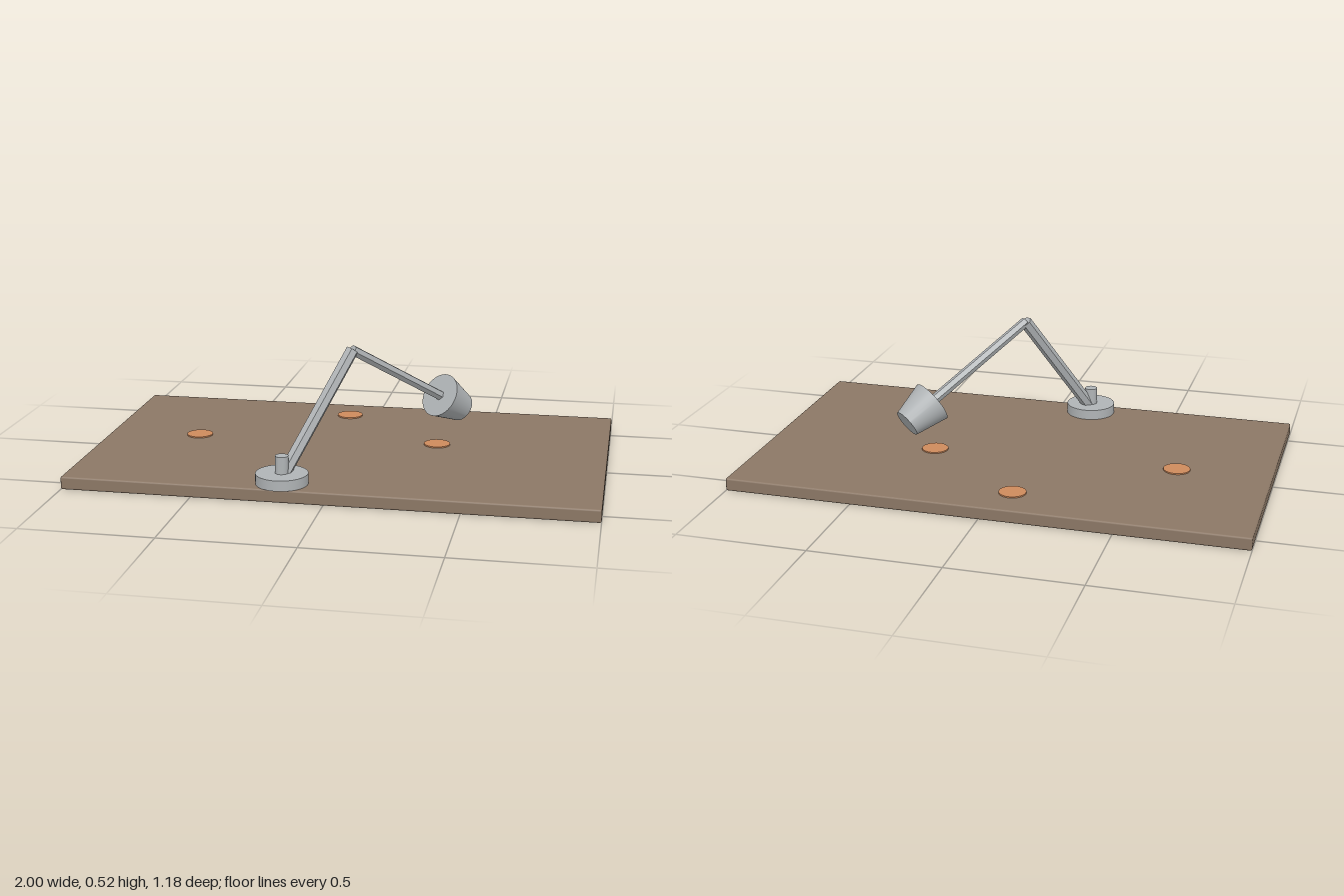
import * as THREE from 'three';
import { toCreasedNormals } from 'three/addons/utils/BufferGeometryUtils.js';
import { RoundedBoxGeometry } from 'three/addons/geometries/RoundedBoxGeometry.js';

export function createModel() {
  const group = new THREE.Group();
  group.name = 'deskWithLamp';
  const wood = new THREE.MeshStandardMaterial({ name: 'brown wood', color: 0x8b7765 });
  const metal = new THREE.MeshStandardMaterial({ name: 'grey metal', color: 0xb0b4b6 });
  const copper = new THREE.MeshStandardMaterial({ name: 'copper', color: 0xcd8a5c });

  function add(name, geometry, material, parent = group) {
    const mesh = new THREE.Mesh(geometry, material);
    mesh.name = name;
    parent.add(mesh);
    return mesh;
  }

  // Cylinder or cone running from point a (radius ra) to point b (radius rb)
  function rod(name, a, b, ra, rb, sides, parent) {
    const axis = b.clone().sub(a);
    const geometry = toCreasedNormals(new THREE.CylinderGeometry(rb, ra, axis.length(), sides), 0.6);
    const mesh = add(name, geometry, metal, parent);
    mesh.position.copy(a).add(b).multiplyScalar(0.5);
    mesh.quaternion.setFromUnitVectors(new THREE.Vector3(0, 1, 0), axis.normalize());
    return mesh;
  }
  const v = (x, y, z) => new THREE.Vector3(x, y, z);

  // Desk top with softened edges
  add('deskTop', new RoundedBoxGeometry(2, 0.05, 1.165, 2, 0.007), wood).position.set(0, 0.025, -0.008);

  // Flat discs lying on the desk
  for (const [x, z] of [[-0.635, -0.045], [-0.087, -0.428], [0.328, -0.088]]) {
    add('disc', new THREE.CylinderGeometry(0.052, 0.052, 0.006, 32), copper).position.set(x, 0.052, z);
  }

  // Lamp: base, post, two hexagonal arms and a tapered head
  const lamp = new THREE.Group();
  lamp.name = 'lamp';
  group.add(lamp);
  const bx = -0.17, bz = 0.492;
  rod('lampBase', v(bx, 0.05, bz), v(bx, 0.09, bz), 0.098, 0.098, 48, lamp);
  rod('lampPost', v(bx, 0.09, bz), v(bx, 0.156, bz), 0.025, 0.025, 24, lamp);
  const elbow = v(0.047, 0.503, 0.24);
  rod('lowerArm', v(bx, 0.07, bz), elbow, 0.025, 0.025, 6, lamp);
  rod('upperArm', elbow, v(0.337, 0.25, -0.096), 0.02, 0.02, 6, lamp);
  rod('lampHead', v(0.335, 0.252, -0.095), v(0.41, 0.183, -0.182), 0.088, 0.057, 48, lamp);

  return group;
}
